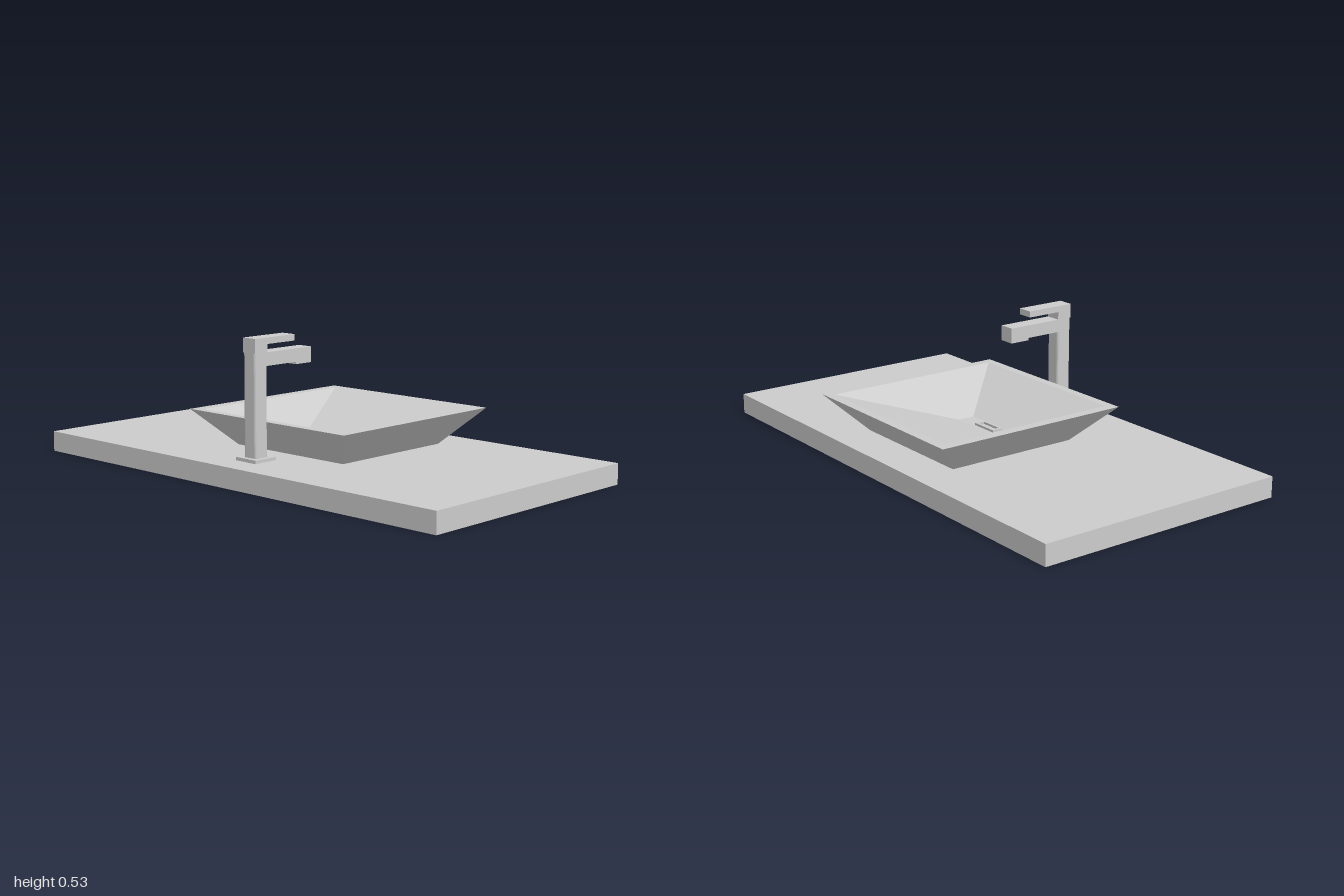
import * as THREE from 'three';

const grey = new THREE.MeshStandardMaterial({ color: 0xcccccc });
const flatGrey = new THREE.MeshStandardMaterial({ color: 0xcccccc, flatShading: true });

// Box given by its limits on each axis
function box(name, [x0, x1], [y0, y1], [z0, z1]) {
  const mesh = new THREE.Mesh(new THREE.BoxGeometry(x1 - x0, y1 - y0, z1 - z0), grey);
  mesh.position.set((x0 + x1) / 2, (y0 + y1) / 2, (z0 + z1) / 2);
  mesh.name = name;
  return mesh;
}

// Rectangle outline centred on the origin, with optional rounded corners
function rectangle(target, w, d, r = 0) {
  const x = w / 2, y = d / 2;
  if (!r) {
    target.moveTo(-x, -y).lineTo(x, -y).lineTo(x, y).lineTo(-x, y).closePath();
    return target;
  }
  target.absarc(x - r, y - r, r, 0, Math.PI / 2);
  target.absarc(r - x, y - r, r, Math.PI / 2, Math.PI);
  target.absarc(r - x, r - y, r, Math.PI, Math.PI * 1.5);
  target.absarc(x - r, r - y, r, Math.PI * 1.5, Math.PI * 2);
  target.closePath();
  return target;
}

// Upright extrusion standing at the given position
function upright(name, shape, height, x, y, z) {
  const geometry = new THREE.ExtrudeGeometry(shape, { depth: height, bevelEnabled: false, curveSegments: 4 });
  geometry.rotateX(-Math.PI / 2);
  const mesh = new THREE.Mesh(geometry, grey);
  mesh.position.set(x, y, z);
  mesh.name = name;
  return mesh;
}

// Basin skin: rectangular rings joined from the outer foot over the rim to the inner floor
function basinGeometry() {
  const rings = [ // x0, x1, z0, z1, y
    [-0.26, 0.29, -0.35, 0.19, 0.08],
    [-0.39, 0.417, -0.485, 0.323, 0.22],
    [-0.35, 0.38, -0.45, 0.29, 0.22],
    [-0.12, 0.16, -0.02, 0.05, 0.092],
  ];
  const positions = [], index = [];
  for (const [x0, x1, z0, z1, y] of rings) {
    positions.push(x0, y, z1, x1, y, z1, x1, y, z0, x0, y, z0);
  }
  for (let r = 0; r < rings.length - 1; r++) {
    for (let i = 0; i < 4; i++) {
      const a = r * 4 + i, b = r * 4 + (i + 1) % 4;
      index.push(a, b, b + 4, a, b + 4, a + 4);
    }
  }
  index.push(0, 2, 1, 0, 3, 2); // underside
  index.push(12, 13, 14, 12, 14, 15); // inner floor
  const geometry = new THREE.BufferGeometry();
  geometry.setAttribute('position', new THREE.Float32BufferAttribute(positions, 3));
  geometry.setIndex(index);
  const flat = geometry.toNonIndexed();
  flat.computeVertexNormals();
  return flat;
}

export function createModel() {
  const model = new THREE.Group();
  model.name = 'washbasin';

  // Countertop slab
  model.add(box('countertop', [-1, 1], [0, 0.08], [-0.517, 0.517]));

  // Tapered vessel basin
  const basin = new THREE.Mesh(basinGeometry(), flatGrey);
  basin.name = 'basin';
  model.add(basin);

  // Drain frame with its slot
  const frame = rectangle(new THREE.Shape(), 0.115, 0.046);
  frame.holes.push(rectangle(new THREE.Path(), 0.092, 0.026));
  model.add(upright('drain', frame, 0.013, 0.012, 0.088, 0.014));

  // Tap: base plate, softly rounded column, spout with outlet, and lever
  const tap = new THREE.Group();
  tap.name = 'tap';
  const width = [-0.02, 0.043];
  tap.add(box('basePlate', [-0.042, 0.062], [0.08, 0.093], [0.307, 0.409]));
  tap.add(upright('column', rectangle(new THREE.Shape(), 0.063, 0.062, 0.01), 0.387, 0.0115, 0.093, 0.359));
  tap.add(box('spout', width, [0.43, 0.48], [0.1, 0.345]));
  tap.add(box('spoutOutlet', width, [0.421, 0.43], [0.1, 0.181]));
  tap.add(box('leverNeck', width, [0.48, 0.51], [0.328, 0.39]));
  tap.add(box('lever', width, [0.51, 0.534], [0.188, 0.39]));
  model.add(tap);

  return model;
}
